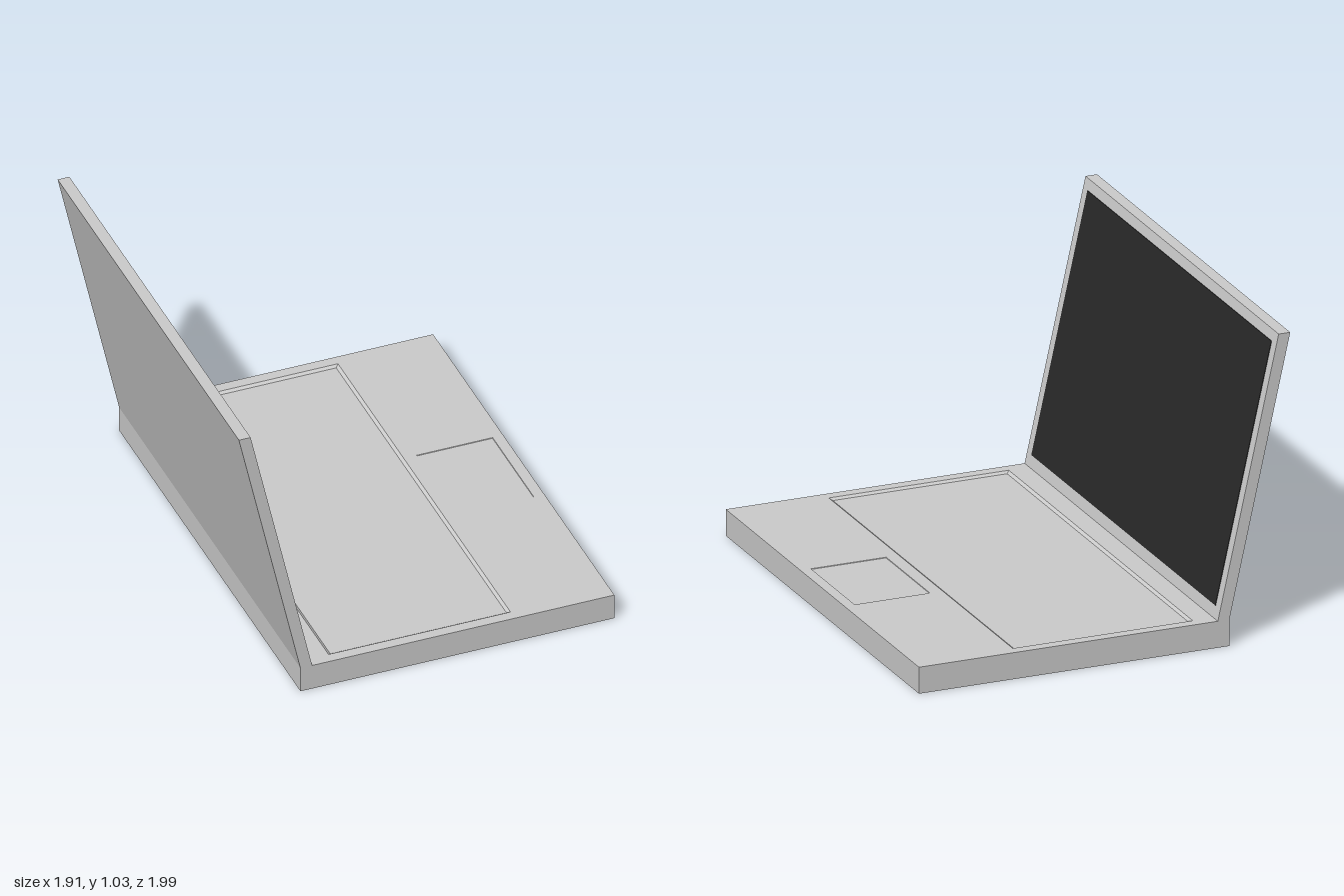
import * as THREE from 'three';

const W = 1.544, D = 1.076, H = 0.09;      // base width, depth, height
const DECK = 0.01;                         // thickness of the pierced top layer
const LID_H = 0.945, LID_T = 0.04;         // lid height and thickness
const LEAN = 0.211 / LID_H;                // backward lean of the lid

const grey = new THREE.MeshStandardMaterial({ color: 0xcccccc, flatShading: true });
const dark = new THREE.MeshStandardMaterial({ color: 0x282828, flatShading: true });

// Recessed areas of the deck: half width, z range, slope width, depth
const recesses = [
  { name: 'keyboard', hw: 0.735, z0: -0.427, z1: 0.197, slope: 0.01, depth: 0.007 },
  { name: 'trackpad', hw: 0.175, z0: 0.241, z1: 0.502, slope: 0.001, depth: 0.002 },
];

function add(parent, name, geometry, material) {
  const mesh = new THREE.Mesh(geometry, material);
  mesh.name = name;
  parent.add(mesh);
  return mesh;
}

// Rectangle outline in plan, ready to be laid flat
function rect(target, x, z0, z1) {
  target.moveTo(-x, -z1);
  target.lineTo(x, -z1);
  target.lineTo(x, -z0);
  target.lineTo(-x, -z0);
  target.closePath();
  return target;
}

// Sloping walls and floor of a shallow recess
function recessGeometry({ hw, z0, z1, slope, depth }) {
  const ring = (s, y) => [
    [-hw + s, y, z1 - s], [hw - s, y, z1 - s], [hw - s, y, z0 + s], [-hw + s, y, z0 + s],
  ];
  const points = [...ring(0, H), ...ring(slope, H - depth)].flat();
  const index = [4, 5, 6, 4, 6, 7];
  for (let i = 0; i < 4; i++) {
    const j = (i + 1) % 4;
    index.push(i, j, j + 4, i, j + 4, i + 4);
  }
  const g = new THREE.BufferGeometry();
  g.setAttribute('position', new THREE.Float32BufferAttribute(points, 3));
  g.setIndex(index);
  const flat = g.toNonIndexed();
  flat.computeVertexNormals();
  return flat;
}

// Box leaning back along the lid; y measured from the hinge line
function leaningBox(w, y0, y1, z0, z1) {
  const g = new THREE.BoxGeometry(w, y1 - y0, z1 - z0);
  g.translate(0, (y0 + y1) / 2, (z0 + z1) / 2);
  return g.applyMatrix4(new THREE.Matrix4().set(
    1, 0, 0, 0,
    0, 1, 0, 0,
    0, -LEAN, 1, 0,
    0, 0, 0, 1,
  ));
}

export function createModel() {
  const model = new THREE.Group();
  model.name = 'laptop';

  // Base: solid slab
  const base = new THREE.Group();
  base.name = 'base';
  model.add(base);
  const slab = new THREE.BoxGeometry(W, H - DECK, D).translate(0, (H - DECK) / 2, 0);
  add(base, 'baseSlab', slab, grey);

  // Deck with openings for the keyboard and trackpad
  const plan = rect(new THREE.Shape(), W / 2, -D / 2, D / 2);
  for (const r of recesses) plan.holes.push(rect(new THREE.Path(), r.hw, r.z0, r.z1));
  const deck = new THREE.ExtrudeGeometry(plan, { depth: DECK, bevelEnabled: false });
  deck.rotateX(-Math.PI / 2).translate(0, H - DECK, 0);
  add(base, 'deck', deck, grey);
  for (const r of recesses) add(base, r.name, recessGeometry(r), grey);

  // Lid standing on the back edge, with the display on its front
  const lid = new THREE.Group();
  lid.name = 'lid';
  lid.position.set(0, H, -D / 2);
  model.add(lid);
  add(lid, 'lidPanel', leaningBox(W, 0, LID_H, 0, LID_T), grey);
  add(lid, 'screen', leaningBox(1.47, 0.04, 0.91, LID_T - 0.01, LID_T + 0.002), dark);

  // Turn the whole laptop to its resting angle
  model.rotation.y = 1.0075;
  model.position.set(0.0875, 0, 0.055);
  const root = new THREE.Group();
  root.add(model);
  return root;
}
